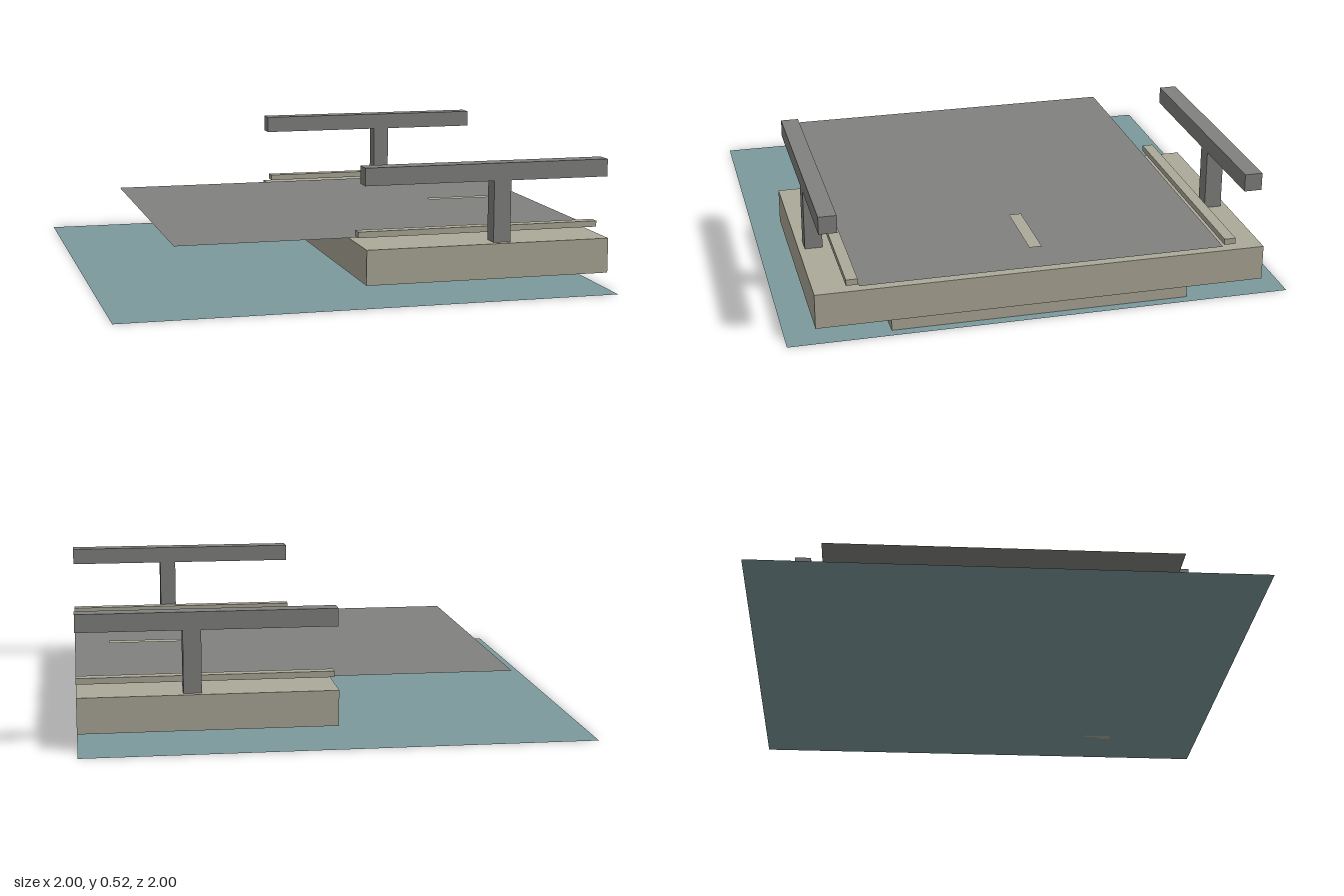
import * as THREE from 'three';

export function createModel() {
  const model = new THREE.Group();
  const mat = (name, color) => {
    const m = new THREE.MeshStandardMaterial({ color, side: THREE.DoubleSide });
    m.name = name;
    return m;
  };
  const teal = mat('teal', 0x7c999d);
  const grey = mat('grey', 0x81827f);
  const stone = mat('stone', 0xaca998);

  // Box given by its extents on each axis
  function box(name, material, [x0, x1], [y0, y1], [z0, z1]) {
    const mesh = new THREE.Mesh(new THREE.BoxGeometry(x1 - x0, y1 - y0, z1 - z0), material);
    mesh.position.set((x0 + x1) / 2, (y0 + y1) / 2, (z0 + z1) / 2);
    mesh.name = name;
    model.add(mesh);
  }

  // Flat horizontal sheet facing up
  function sheet(name, material, [x0, x1], y, halfDepth) {
    const geometry = new THREE.PlaneGeometry(x1 - x0, halfDepth * 2).rotateX(-Math.PI / 2);
    const mesh = new THREE.Mesh(geometry, material);
    mesh.position.set((x0 + x1) / 2, y, 0);
    mesh.name = name;
    model.add(mesh);
  }

  // Ground sheet, road surface and its centre marking
  sheet('groundSheet', teal, [-1, 1], 0, 1);
  sheet('roadSurface', grey, [-0.72, 1], 0.223, 0.72);
  sheet('laneMarking', stone, [0.54, 0.857], 0.237, 0.025);

  // Bridge deck and the pier beneath it
  box('deck', stone, [0, 1], [0.065, 0.205], [-0.89, 0.89]);
  box('pier', stone, [0.72, 0.96], [0, 0.065], [-0.593, 0.593]);

  // Kerb, railing post and handrail on both sides
  for (const s of [-1, 1]) {
    const span = (a, b) => (s > 0 ? [a, b] : [-b, -a]);
    box('kerb', stone, [0, 1], [0.23, 0.254], span(0.725, 0.77));
    box('railPost', grey, [0.525, 0.595], [0.205, 0.45], span(0.795, 0.865));
    box('handrail', grey, [0, 1], [0.45, 0.52], span(0.795, 0.865));
  }
  return model;
}
